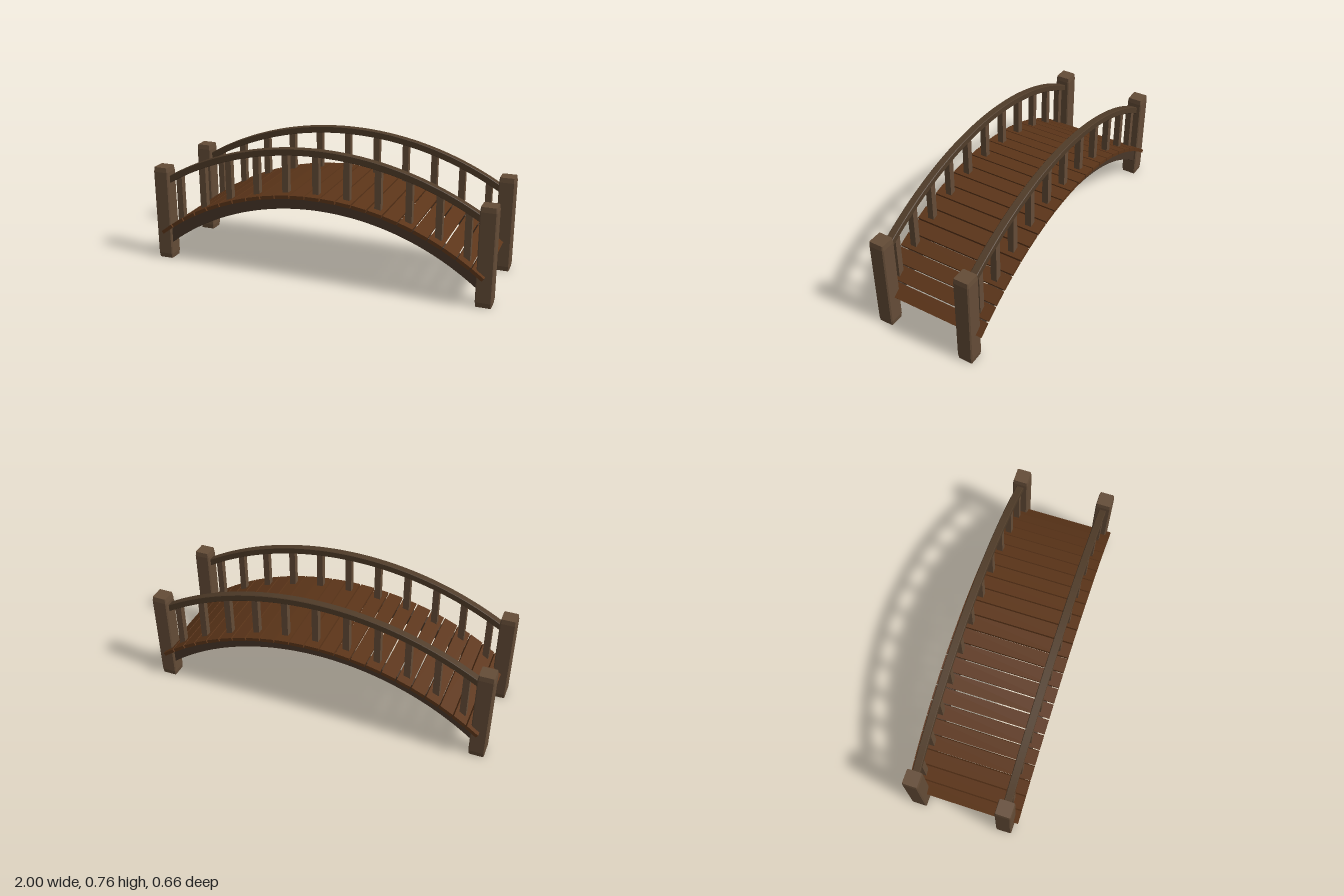
import * as THREE from 'three';
import { toCreasedNormals } from 'three/addons/utils/BufferGeometryUtils.js';

// All curved parts share one arc centre below the ground.
const CENTER_Y = -1.055;
const SIDE_Z = 0.2575;
const PLANKS = 23;
const STEP = 0.0576; // angle between planks

const mat = (color) => new THREE.MeshStandardMaterial({ color, roughness: 0.9 });

// Curved timber: an arc band extruded across its width, with slim chamfers
function arcTimber(inner, outer, halfAngle, width, chamfer) {
  const shape = new THREE.Shape();
  const a0 = Math.PI / 2 - halfAngle, a1 = Math.PI / 2 + halfAngle;
  shape.absarc(0, 0, outer - chamfer, a0, a1, false);
  shape.absarc(0, 0, inner + chamfer, a1, a0, true);
  shape.closePath();
  const geo = new THREE.ExtrudeGeometry(shape, {
    depth: width - 2 * chamfer, curveSegments: 32, bevelEnabled: true,
    bevelSize: chamfer, bevelThickness: chamfer, bevelSegments: 1,
  });
  geo.translate(0, CENTER_Y, -width / 2 + chamfer);
  return toCreasedNormals(geo, 0.3);
}

// Square post with clipped edges and slightly tapered ends
function postGeometry(width, height) {
  const taper = 0.004, cap = 0.028, clip = 0.004;
  const h = width / 2 - taper, c = h - clip;
  const shape = new THREE.Shape([
    [h, -c], [h, c], [c, h], [-c, h], [-h, c], [-h, -c], [-c, -h], [c, -h],
  ].map(([x, y]) => new THREE.Vector2(x, y)));
  const geo = new THREE.ExtrudeGeometry(shape, {
    depth: height - 2 * cap, bevelEnabled: true,
    bevelSize: taper, bevelThickness: cap, bevelSegments: 1,
  });
  geo.translate(0, 0, cap);
  geo.rotateX(-Math.PI / 2);
  return geo;
}

export function createModel() {
  const bridge = new THREE.Group();
  bridge.name = 'archedFootbridge';
  const plankMat = mat(0x5c3519), postMat = mat(0x644c37);
  const railMat = mat(0x503c29), beamMat = mat(0x483628);

  const add = (parent, name, geo, material, x = 0, y = 0, z = 0) => {
    const mesh = new THREE.Mesh(geo, material);
    mesh.name = name;
    mesh.position.set(x, y, z);
    parent.add(mesh);
    return mesh;
  };

  // Deck planks laid along the arc
  const deck = new THREE.Group();
  deck.name = 'deck';
  bridge.add(deck);
  const plankGeo = new THREE.BoxGeometry(0.082, 0.02, 0.66);
  for (let i = 0; i < PLANKS; i++) {
    const a = (i - (PLANKS - 1) / 2) * STEP;
    const plank = add(deck, 'plank', plankGeo, plankMat,
      1.55 * Math.sin(a), CENTER_Y + 1.55 * Math.cos(a), 0);
    plank.rotation.z = -a;
  }

  // Each side: beam, handrail, balusters and two end posts
  const beamGeo = arcTimber(1.47, 1.542, 0.675, 0.06, 0.002);
  const railGeo = arcTimber(1.772, 1.81, 0.553, 0.042, 0.003);
  const postGeo = postGeometry(0.091, 0.56);
  for (const s of [1, -1]) {
    const side = new THREE.Group();
    side.name = s > 0 ? 'frontSide' : 'backSide';
    side.position.z = s * SIDE_Z;
    bridge.add(side);
    add(side, 'beam', beamGeo, beamMat);
    add(side, 'handrail', railGeo, railMat);

    // Upright balusters over every second plank
    for (let i = -5; i <= 5; i++) {
      const x = 1.56 * Math.sin(i * STEP * 2);
      const bottom = CENTER_Y + Math.sqrt(1.535 ** 2 - x * x);
      const top = CENTER_Y + Math.sqrt(1.79 ** 2 - x * x);
      add(side, 'baluster', new THREE.BoxGeometry(0.036, top - bottom, 0.036),
        postMat, x, (top + bottom) / 2);
    }
    for (const e of [1, -1]) add(side, 'endPost', postGeo, postMat, e * 0.9545);
  }
  return bridge;
}
